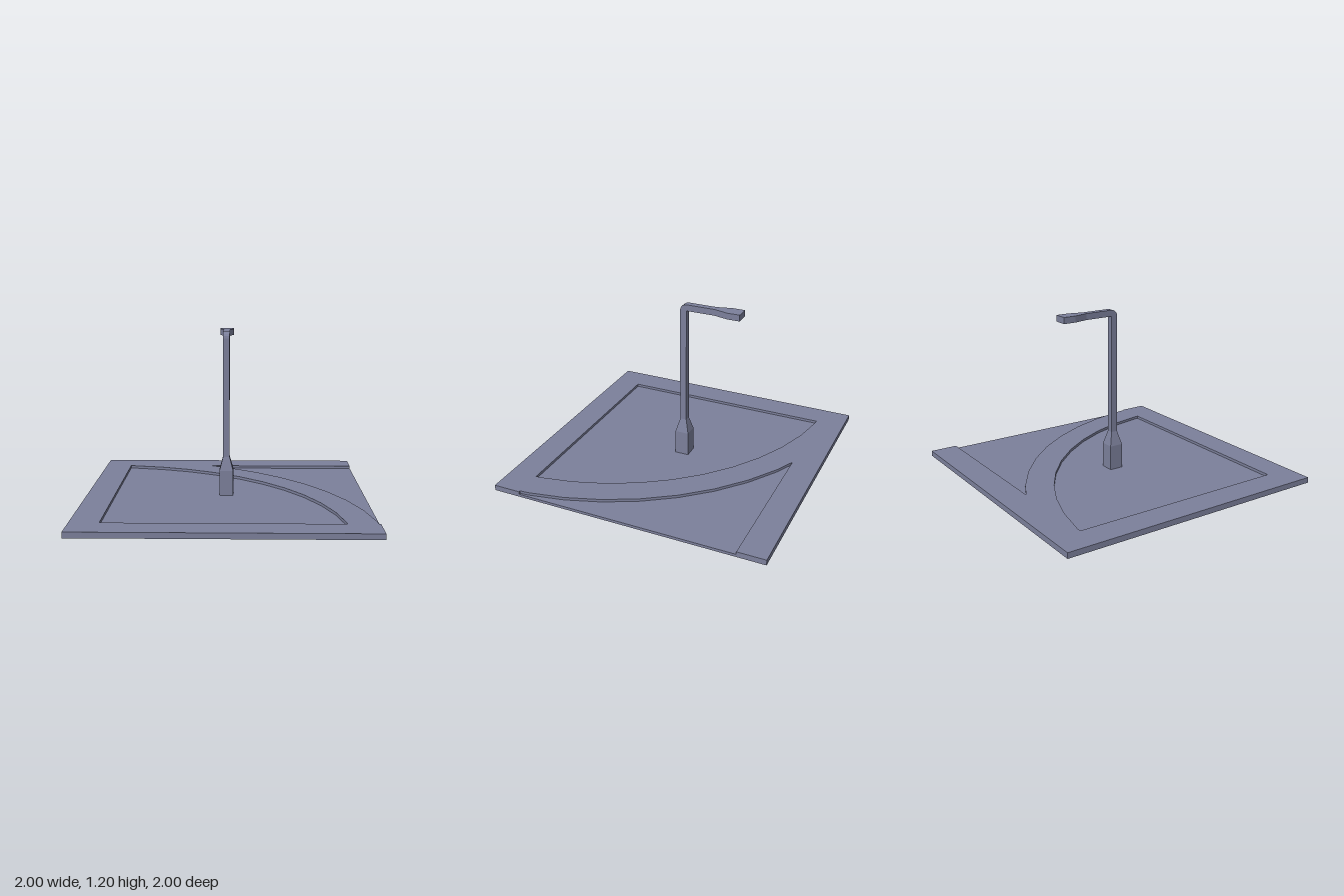
import * as THREE from 'three';

const STEP = Math.PI / 24;

// Points on a faceted arc around the corner (-1, 1), as plan (x, z) pairs
function arc(radius, from, to) {
  const pts = [];
  for (let k = from; k <= to; k++) {
    pts.push([-1 + radius * Math.sin(k * STEP), 1 - radius * Math.cos(k * STEP)]);
  }
  return pts;
}

const toPlan = (pts) => pts.map(([x, z]) => new THREE.Vector2(x, -z));

// Loft through four-sided rings: { w: half width, o: outer [y, z], i: inner [y, z] }
function loft(rings) {
  const pos = [];
  const corners = rings.map(({ w, o, i }) => [
    [-w, ...o], [w, ...o], [w, ...i], [-w, ...i],
  ]);
  const quad = (a, b, c, d) => pos.push(...a, ...b, ...c, ...a, ...c, ...d);
  for (let r = 0; r < corners.length - 1; r++) {
    const lo = corners[r], hi = corners[r + 1];
    for (let j = 0; j < 4; j++) {
      const n = (j + 1) % 4;
      quad(lo[j], lo[n], hi[n], hi[j]);
    }
  }
  const first = corners[0], last = corners[corners.length - 1];
  quad(first[3], first[2], first[1], first[0]);
  quad(...last);
  const geo = new THREE.BufferGeometry();
  geo.setAttribute('position', new THREE.Float32BufferAttribute(pos, 3));
  geo.computeVertexNormals();
  return geo;
}

export function createModel() {
  const model = new THREE.Group();
  model.name = 'streetLampTile';
  const slate = new THREE.MeshStandardMaterial({ color: 0x7c809b, flatShading: true });
  slate.name = 'slate';

  const add = (name, geometry) => {
    const mesh = new THREE.Mesh(geometry, slate);
    mesh.name = name;
    model.add(mesh);
    return mesh;
  };

  // Lower slab, whose top is the floor of both recesses
  add('lowerSlab', new THREE.BoxGeometry(2, 0.02, 2)).position.y = 0.01;

  // Raised border and curved kerb, with an open recess at the +x side
  const border = new THREE.Shape(toPlan([
    [-1, 1], [1, 1], [1, 0.8], [0.987, 0.8],
    ...arc(2, 4, 11).reverse(),
    [-0.138, -0.8], [1, -0.8], [1, -1], [-1, -1],
  ]));
  // Closed quarter-round recess
  border.holes.push(new THREE.Path(toPlan([
    [-0.8, 0.8], [-0.8, -0.787], ...arc(1.8, 1, 11), [0.787, 0.8],
  ])));
  const borderGeo = new THREE.ExtrudeGeometry(border, { depth: 0.02, bevelEnabled: false });
  borderGeo.rotateX(-Math.PI / 2);
  add('raisedBorder', borderGeo).position.y = 0.02;

  // Lamp post: square foot, taper, shaft, rounded elbow, arm and flared head
  const t = 0.0235, elbowY = 1.155, topY = 1.2;
  const upright = (y, half) => ({ w: half, o: [y, half], i: [y, -half] });
  const along = (z, half) => ({ w: half, o: [topY, z], i: [elbowY, z] });
  const rings = [upright(0.02, 0.05), upright(0.2, 0.05), upright(0.3, t)];
  for (let k = 0; k <= 4; k++) {
    const a = (k / 4) * Math.PI / 2;
    rings.push({
      w: t,
      o: [elbowY + (topY - elbowY) * Math.sin(a), -t + 2 * t * Math.cos(a)],
      i: [elbowY, -t],
    });
  }
  rings.push(along(-0.23, t), along(-0.335, 0.05), along(-0.425, 0.05));
  add('lampPost', loft(rings));

  return model;
}
